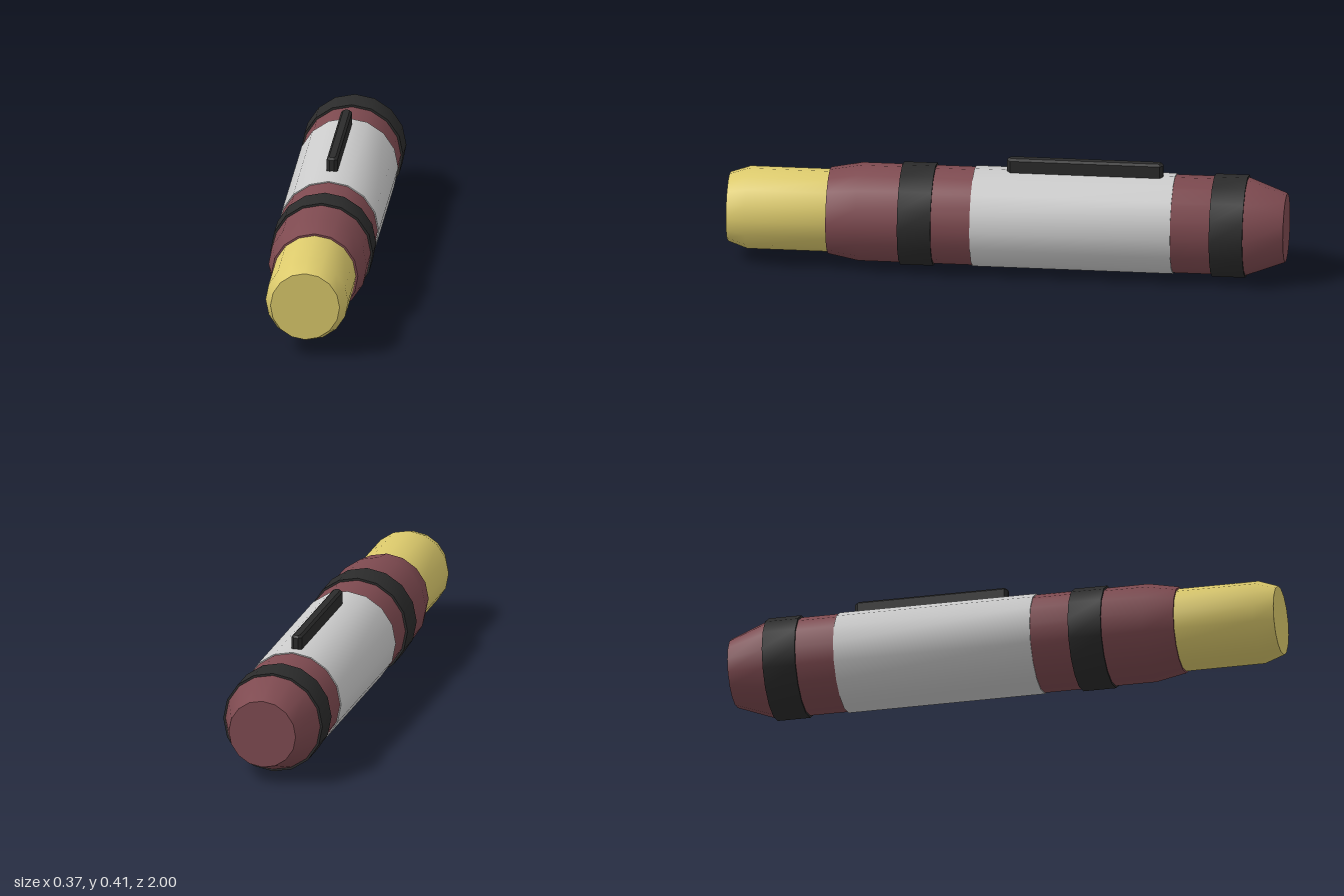
import * as THREE from 'three';
import { toCreasedNormals } from 'three/addons/utils/BufferGeometryUtils.js';

const AXIS_Y = 0.186;
const SIDES = 16;

const material = (color) => new THREE.MeshStandardMaterial({ color });

// Closed solid turned around the z axis from [radius, z] points, back to front
function turned(name, profile, mat) {
  const closed = [[0, profile[0][1]], ...profile, [0, profile[profile.length - 1][1]]];
  const points = closed.map(([r, z]) => new THREE.Vector2(r, z));
  const geometry = new THREE.LatheGeometry(points, SIDES).rotateX(Math.PI / 2);
  const mesh = new THREE.Mesh(toCreasedNormals(geometry, 0.7), mat);
  mesh.name = name;
  mesh.position.y = AXIS_Y;
  return mesh;
}

export function createModel() {
  const group = new THREE.Group();
  const maroon = material(0x7e4a50);
  const black = material(0x2b2b2b);
  const yellow = material(0xdcca6c);
  const grey = material(0xcccccc);

  // Main body: tapered at both ends
  group.add(turned('body', [[0.124, -1], [0.176, -0.86], [0.176, 0.53], [0.155, 0.64]], maroon));

  // Front tip
  group.add(turned('tip', [[0.148, 0.6], [0.148, 0.93], [0.124, 1]], yellow));

  // Sleeve round the middle
  group.add(turned('sleeve', [[0.18, -0.6], [0.18, 0.12]], grey));

  // Bands
  for (const [name, z] of [['frontBand', 0.32], ['backBand', -0.8]]) {
    group.add(turned(name, [[0.184, z - 0.06], [0.184, z + 0.06]], black));
  }

  // Switch bar: long bar with cut corners and a bevelled top
  const bevel = 0.008, w = 0.0195 - bevel, l = 0.28 - bevel, cut = 0.007;
  const plan = new THREE.Shape([
    [w, l - cut], [w - cut, l], [cut - w, l], [-w, l - cut],
    [-w, cut - l], [cut - w, -l], [w - cut, -l], [w, cut - l],
  ].map(([x, y]) => new THREE.Vector2(x, y)));
  const barGeometry = new THREE.ExtrudeGeometry(plan, {
    depth: 0.06, bevelEnabled: true, bevelSize: bevel, bevelThickness: bevel, bevelSegments: 1,
  }).rotateX(-Math.PI / 2);
  const bar = new THREE.Mesh(barGeometry, black);
  bar.name = 'switchBar';
  bar.position.set(0, 0.414 - 0.06 - bevel, -0.278);
  group.add(bar);

  return group;
}
